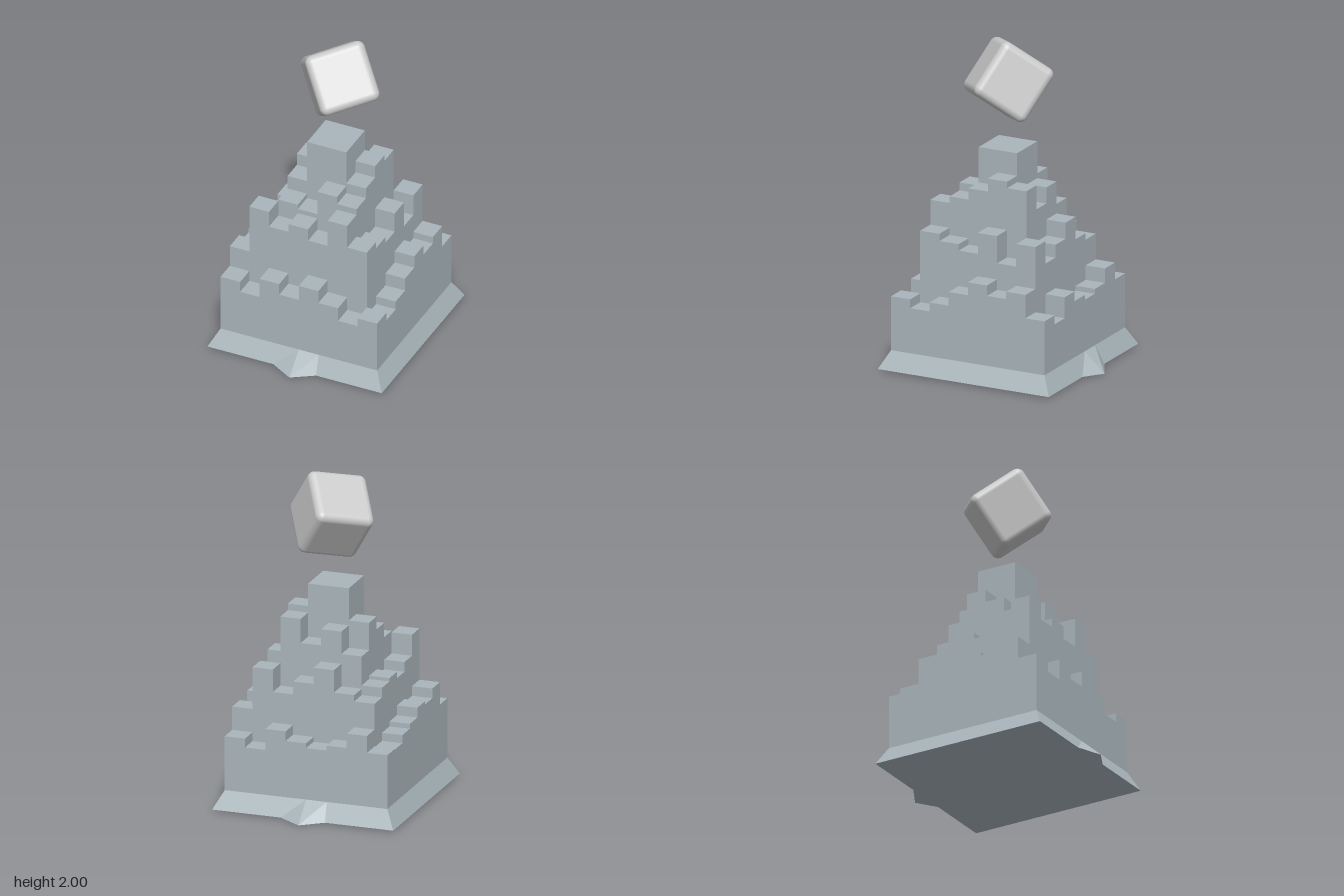
import * as THREE from 'three';
import { mergeGeometries } from 'three/addons/utils/BufferGeometryUtils.js';
import { RoundedBoxGeometry } from 'three/addons/geometries/RoundedBoxGeometry.js';

// Column tops: rows run front to back, entries from -x to +x.
const HEIGHTS = [
  [0.49, 0.42, 0.55, 0.475, 0.575, 0.49, 0.40, 0.455],
  [0.63, 0.95, 0.845, 0.90, 0.82, 1.00, 0.845, 0.40],
  [0.57, 0.82, 0.96, 0.93, 1.09, 1.04, 0.80, 0.455],
  [0.59, 0.76, 1.05, 1.33, 1.33, 1.11, 0.76, 0.54],
  [0.53, 0.80, 1.13, 1.33, 1.33, 1.19, 0.89, 0.62],
  [0.50, 0.78, 0.96, 1.10, 1.00, 1.15, 0.72, 0.555],
  [0.45, 0.72, 0.76, 0.90, 0.80, 0.72, 0.86, 0.60],
  [0.455, 0.56, 0.47, 0.44, 0.47, 0.53, 0.40, 0.455],
];
const CELL = 0.128, SKIRT_TOP = 0.12;

// Stepped tower of square columns
function towerGeometry() {
  const columns = [];
  HEIGHTS.forEach((row, j) => row.forEach((top, i) => {
    const h = top - SKIRT_TOP;
    columns.push(new THREE.BoxGeometry(CELL, h, CELL)
      .translate((i - 3.5) * CELL, SKIRT_TOP + h / 2, (3.5 - j) * CELL));
  }));
  return mergeGeometries(columns);
}

// Sloping skirt with a pointed toe at front and back, closed underneath
function skirtGeometry() {
  const outline = (side, notch, toe, y, toeY) => {
    const front = [[-side, y, side], [-notch, y, side], [0, toeY, toe], [notch, y, side], [side, y, side]];
    const back = front.map(([x, h, z]) => [-x, h, -z]);
    return [...front, ...back];
  };
  const low = outline(0.57, 0.14, 0.643, 0.01, 0);
  const high = outline(0.512, 0.13, 0.512, SKIRT_TOP, SKIRT_TOP);
  const points = [];
  low.forEach((p, i) => {
    const k = (i + 1) % low.length;
    points.push(...p, ...low[k], ...high[k], ...p, ...high[k], ...high[i]);
    points.push(0, 0.01, 0, ...low[k], ...p);
  });
  const geometry = new THREE.BufferGeometry();
  geometry.setAttribute('position', new THREE.Float32BufferAttribute(points, 3));
  geometry.computeVertexNormals();
  return geometry;
}

export function createModel() {
  const model = new THREE.Group();
  model.name = 'steppedTower';
  const stone = new THREE.MeshStandardMaterial({ color: 0xaab6bc, flatShading: true });
  const grey = new THREE.MeshStandardMaterial({ color: 0xcccccc });
  const add = (name, geometry, material) => {
    const mesh = new THREE.Mesh(geometry, material);
    mesh.name = name;
    model.add(mesh);
    return mesh;
  };

  add('towerColumns', towerGeometry(), stone);
  add('baseSkirt', skirtGeometry(), stone);

  // Floating rounded cube, tilted along its own edge directions
  const cube = add('floatingCube', new RoundedBoxGeometry(0.37, 0.37, 0.37, 6, 0.045), grey);
  const a = new THREE.Vector3(-0.17, 0.27, -0.117).normalize();
  const c = a.clone().cross(new THREE.Vector3(0.255, 0.07, -0.213)).normalize();
  const b = c.clone().cross(a);
  cube.quaternion.setFromRotationMatrix(new THREE.Matrix4().makeBasis(a, b, c));
  cube.position.set(0.02, 1.74, -0.015);

  return model;
}
